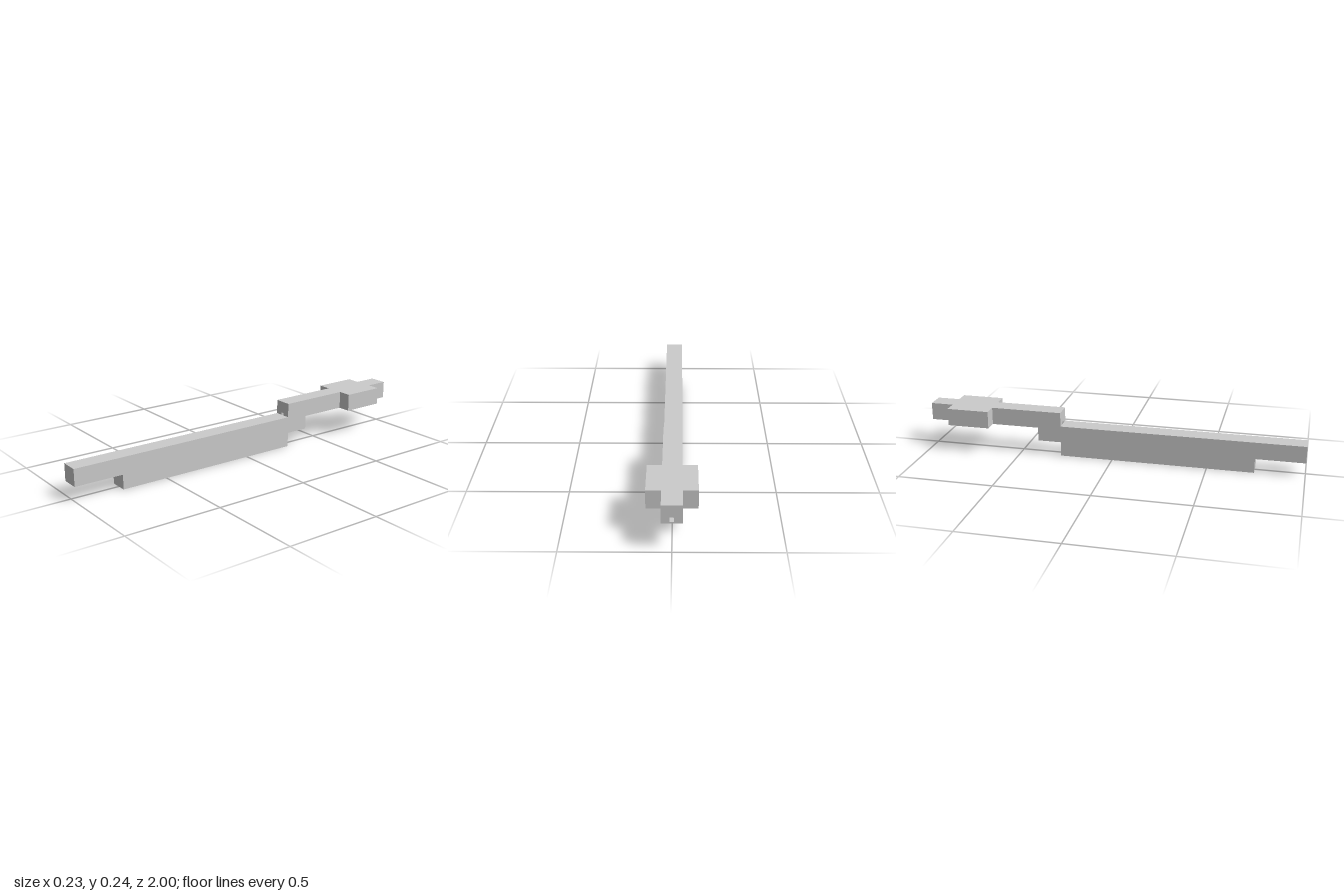
import * as THREE from 'three';

const HALF = 0.047;                 // half width of the slim parts
const LOW = 0.148, TOP = 0.24;      // bottom and top of the raised rear section
const STEP = -0.278;                // where the body steps up to the neck
const PAD_FRONT = -0.655, PAD_BACK = -0.88, PAD_HALF = 0.117, WALL = 0.006;

const material = new THREE.MeshStandardMaterial({ color: 0xcccccc, flatShading: true });

function rectPoints(x0, x1, y0, y1) {
  return [[x0, y0], [x1, y0], [x1, y1], [x0, y1]].map(([x, y]) => new THREE.Vector2(x, y));
}

function add(parent, name, geometry) {
  const mesh = new THREE.Mesh(geometry, material);
  mesh.name = name;
  parent.add(mesh);
  return mesh;
}

// box given by its limits
function block(parent, name, x0, x1, y0, y1, z0, z1) {
  const geometry = new THREE.BoxGeometry(x1 - x0, y1 - y0, z1 - z0);
  geometry.translate((x0 + x1) / 2, (y0 + y1) / 2, (z0 + z1) / 2);
  return add(parent, name, geometry);
}

// rectangular bar along z with a rectangular passage through it
function piercedBar(parent, name, outer, hole, z0, z1) {
  const shape = new THREE.Shape(rectPoints(...outer));
  shape.holes.push(new THREE.Path(rectPoints(...hole)));
  const geometry = new THREE.ExtrudeGeometry(shape, { depth: z1 - z0, bevelEnabled: false });
  geometry.translate(0, 0, z0);
  return add(parent, name, geometry);
}

export function createModel() {
  const model = new THREE.Group();
  model.name = 'steppedBar';

  // long body: side outline (z, y) extruded across x
  const outline = [
    [1, 0.165], [1, 0.076], [0.745, 0.076], [0.745, 0], [STEP, 0],
    [STEP, 0.076], [-0.37, 0.076], [-0.37, LOW], [STEP, LOW], [STEP, 0.165],
  ].map(([z, y]) => new THREE.Vector2(-z, y));
  const body = new THREE.ExtrudeGeometry(new THREE.Shape(outline), { depth: 2 * HALF, bevelEnabled: false });
  body.translate(0, 0, -HALF);
  body.rotateY(Math.PI / 2);
  add(model, 'body', body);

  // shallow socket at the rear end of the lower step
  piercedBar(model, 'rearSocket', [-HALF, HALF, 0.076, LOW],
    [-HALF + 0.008, HALF - 0.008, 0.084, LOW - 0.008], -0.402, -0.37);

  // neck and tip, each with a small passage running along it
  const slim = [-HALF, HALF, LOW, TOP];
  const slot = [-0.009, 0.009, 0.156, 0.178];
  piercedBar(model, 'neck', slim, slot, PAD_FRONT, STEP);
  piercedBar(model, 'tip', slim, slot, -1, PAD_BACK);

  // wide housing, open underneath
  const housing = new THREE.Group();
  housing.name = 'housing';
  model.add(housing);
  block(housing, 'housingRoof', -PAD_HALF, PAD_HALF, TOP - WALL, TOP, PAD_BACK, PAD_FRONT);
  const endWall = [-PAD_HALF, PAD_HALF, LOW, TOP - WALL];
  piercedBar(housing, 'housingFrontWall', endWall, slot, PAD_FRONT - WALL, PAD_FRONT);
  piercedBar(housing, 'housingBackWall', endWall, slot, PAD_BACK, PAD_BACK + WALL);
  for (const [name, x] of [['housingLeftWall', PAD_HALF - WALL], ['housingRightWall', -PAD_HALF]]) {
    block(housing, name, x, x + WALL, LOW, TOP - WALL, PAD_BACK + WALL, PAD_FRONT - WALL);
  }

  return model;
}
